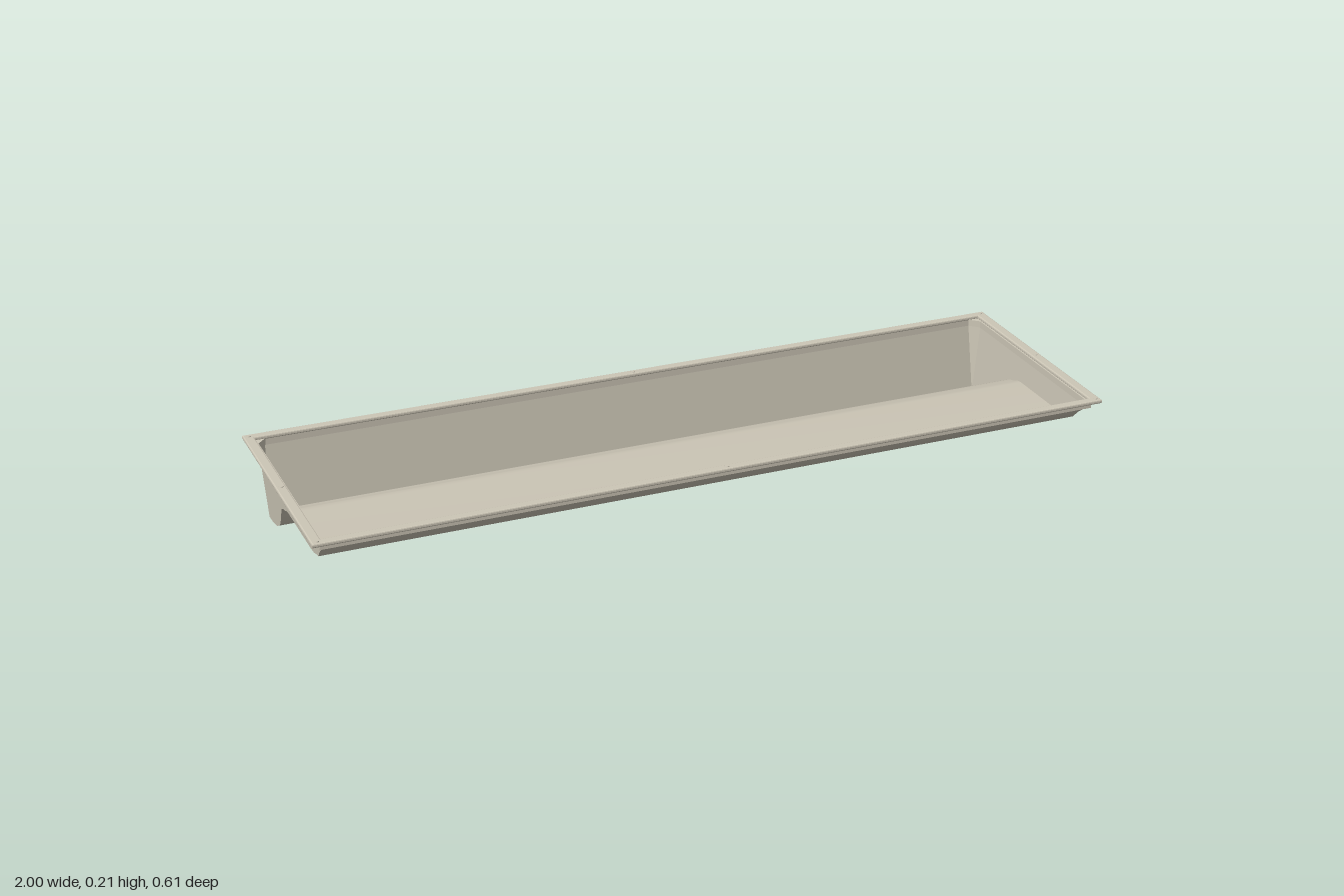
import * as THREE from 'three';
import { toCreasedNormals } from 'three/addons/utils/BufferGeometryUtils.js';

const TOP = 0.183; // height where the basin meets the collar
const shell = new THREE.MeshStandardMaterial({ color: 0xccc6b6, side: THREE.DoubleSide });
shell.name = 'warm grey plastic';

// Floor section from front to back, as [z, y]
const profile = [
  [0.29, 0.183], [0.272, 0.174], [0.25, 0.157], [0.228, 0.135], [0.21, 0.132],
  [0.19, 0.125], [0.16, 0.122], [-0.03, 0.122], [-0.048, 0.12], [-0.066, 0.112],
  [-0.085, 0.108], [-0.102, 0.1], [-0.12, 0.075], [-0.142, 0.043], [-0.163, 0.026],
  [-0.19, 0.012], [-0.22, 0.005], [-0.245, 0.002], [-0.265, 0.002],
];

// Half width of the basin, flaring towards the top
const halfWidth = (y) => 0.957 + ((y - 0.002) / 0.181) * 0.015;

// Surface between two rows of points of equal length
function strip(a, b) {
  const n = a.length, index = [];
  for (let i = 0; i < n - 1; i++) index.push(i, i + 1, n + i, i + 1, n + i + 1, n + i);
  const g = new THREE.BufferGeometry();
  g.setAttribute('position', new THREE.Float32BufferAttribute([...a, ...b].flat(), 3));
  g.setIndex(index);
  g.computeVertexNormals();
  return g;
}

// Rectangle outline; cut trims the two back corners
function outline(path, x, z, cut = 0) {
  path.moveTo(-x, -z);
  path.lineTo(x, -z);
  path.lineTo(x, z - cut);
  if (cut) path.lineTo(x - cut, z);
  path.lineTo(-x + cut, z);
  if (cut) path.lineTo(-x, z - cut);
  path.closePath();
  return path;
}

// Flat rectangular frame lying between heights y0 and y1
function frame(outer, inner, y0, y1, bevel) {
  const shape = outline(new THREE.Shape(), ...outer);
  shape.holes.push(outline(new THREE.Path(), ...inner));
  const g = new THREE.ExtrudeGeometry(shape, {
    depth: y1 - y0 - 2 * bevel, bevelEnabled: bevel > 0, bevelSize: bevel,
    bevelThickness: bevel, bevelOffset: -bevel, bevelSegments: 2,
  });
  return g.rotateX(-Math.PI / 2).translate(0, y0 + bevel, 0);
}

export function createModel() {
  const group = new THREE.Group();
  const add = (name, geometry) => {
    const mesh = new THREE.Mesh(geometry, shell);
    mesh.name = name;
    group.add(mesh);
    return mesh;
  };

  // Contoured floor with its deep trough at the back
  const edge = (s) => profile.map(([z, y]) => [s * halfWidth(y), y, z]);
  add('floor', toCreasedNormals(strip(edge(-1), edge(1)), 0.65));

  // End walls and the tapered corner facets behind them
  for (const s of [-1, 1]) {
    const side = s > 0 ? 'left' : 'right';
    const upper = profile.map(([z]) => [s * halfWidth(TOP), TOP, Math.max(z, -0.264)]);
    add(side + 'EndWall', strip(edge(s), upper).toNonIndexed());
    const foot = [s * 0.957, 0.002, -0.265];
    add(side + 'CornerFacet', strip([foot, foot],
      [[s * 0.972, TOP, -0.264], [s * 0.95, TOP, -0.288]]));
  }

  // Sloping back wall
  add('backWall', strip([[-0.957, 0.002, -0.265], [0.957, 0.002, -0.265]],
    [[-0.95, TOP, -0.288], [0.95, TOP, -0.288]]));

  // Collar and overhanging rim
  add('collar', frame([0.98, 0.291], [0.971, 0.286, 0.022], TOP, 0.2, 0));
  add('rim', frame([1, 0.307], [0.975, 0.285], 0.198, 0.208, 0.003));

  // Small spacer nubs on the rim
  for (const x of [-0.987, 0, 0.987]) {
    for (const z of [-0.295, 0, 0.295]) {
      if (x === 0 && z === 0) continue;
      add('rimNub', new THREE.CylinderGeometry(0.005, 0.006, 0.003, 12)).position.set(x, 0.2085, z);
    }
  }
  return group;
}
